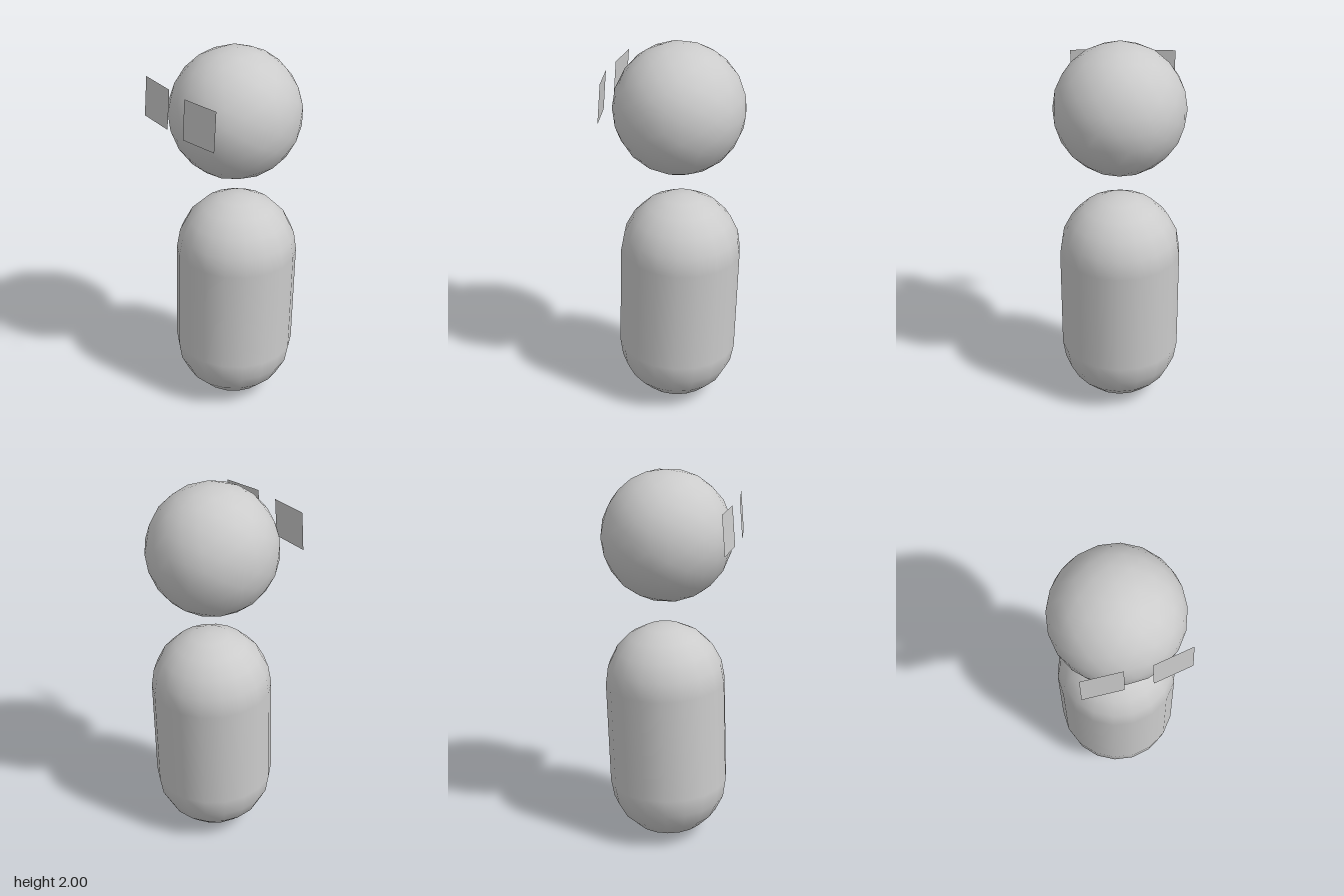
import * as THREE from 'three';
import { mergeVertices } from 'three/addons/utils/BufferGeometryUtils.js';

const LEAN = -0.031; // slight tilt of the figure towards +x

export function createModel() {
  const model = new THREE.Group();
  model.name = 'capsuleFigure';
  const grey = new THREE.MeshStandardMaterial({ color: 0xcccccc });
  const sheet = new THREE.MeshStandardMaterial({ color: 0xcccccc, side: THREE.DoubleSide });

  function add(name, geometry, material, position) {
    const mesh = new THREE.Mesh(geometry, material);
    mesh.name = name;
    mesh.position.set(...position);
    model.add(mesh);
    return mesh;
  }

  // Body: leaning capsule
  const body = add('body', new THREE.CapsuleGeometry(0.316, 0.56, 5, 18), grey, [0.02, 0.597, 0]);
  body.rotation.z = LEAN;

  // Head: coarse smooth-shaded ball floating above the body
  let ball = new THREE.IcosahedronGeometry(0.336, 3);
  ball.deleteAttribute('uv');
  ball.deleteAttribute('normal');
  ball = mergeVertices(ball);
  ball.computeVertexNormals();
  const head = add('head', ball, grey, [0.02, 1.665, 0]);
  head.rotation.z = LEAN;

  // Eyes: two thin square sheets on the -x side of the head
  const eyes = [
    ['rearEye', -0.175, -0.330, -0.054],
    ['frontEye', 0.164, -0.331, 0.148],
  ];
  for (const [name, z, x, yaw] of eyes) {
    const eye = add(name, new THREE.PlaneGeometry(0.205, 0.206), sheet, [x, 1.753, z]);
    eye.rotation.set(-0.083, -Math.PI / 2 + yaw, 0, 'YXZ');
  }

  return model;
}
